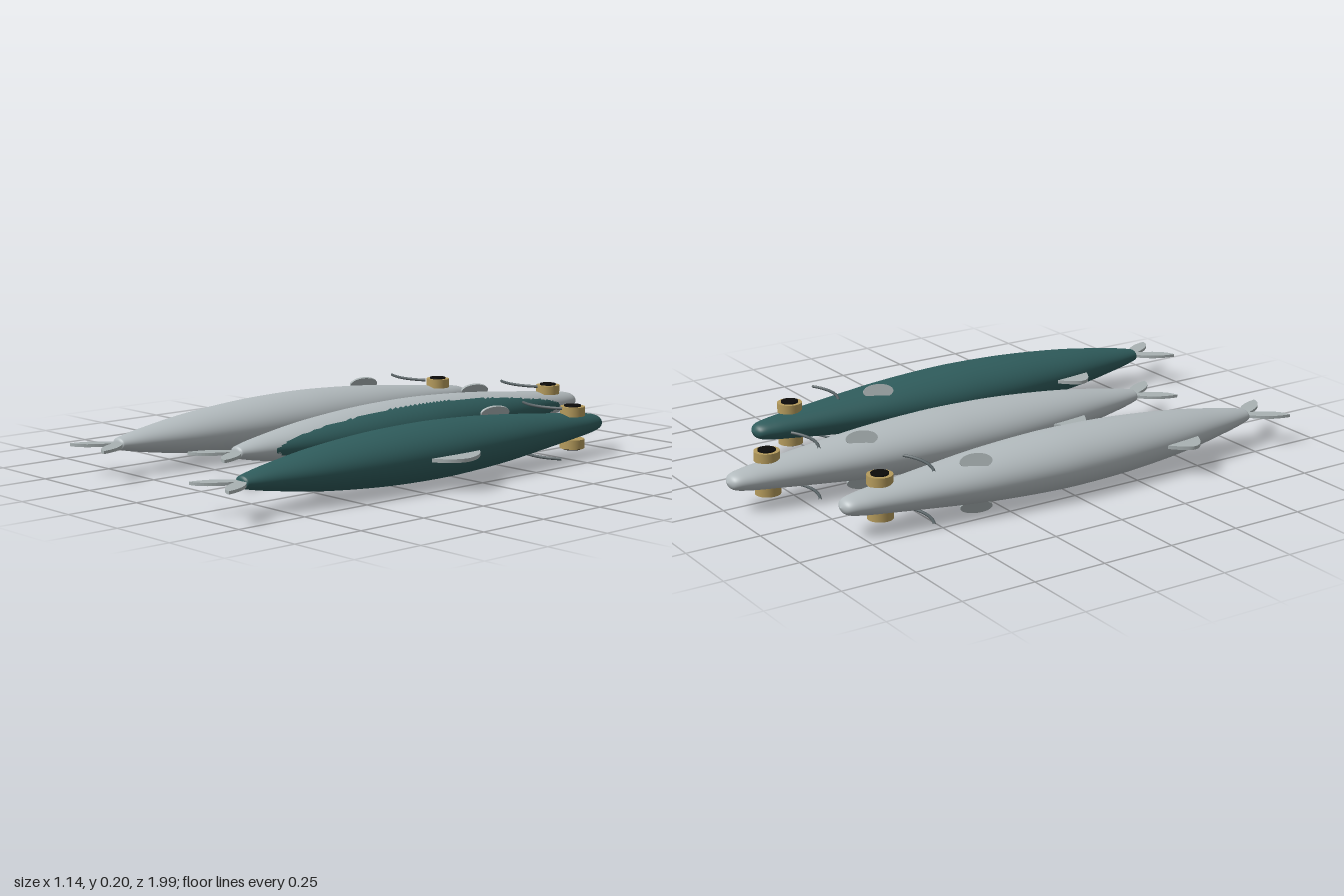
import * as THREE from 'three';

const mat = (name, color) => Object.assign(new THREE.MeshStandardMaterial({ color }), { name });
const silver = mat('silver', 0xb3bbbe);
const teal = mat('teal', 0x2f5c5c);
const finGrey = mat('finGrey', 0xa9b2b3);
const gold = mat('gold', 0xb59b5c);
const black = mat('black', 0x0c0b0a);
const gillGrey = mat('gillGrey', 0x566063);

const FLAT = 0.67; // body height relative to its width

function add(parent, name, geometry, material) {
  const mesh = new THREE.Mesh(geometry, material);
  mesh.name = name;
  parent.add(mesh);
  return mesh;
}

// Spindle body along z, nose at -z
function bodyGeometry() {
  const profile = new THREE.SplineCurve([
    [0, -0.807], [0.035, -0.79], [0.052, -0.74], [0.067, -0.65], [0.09, -0.5],
    [0.118, -0.3], [0.134, -0.1], [0.137, 0.05], [0.128, 0.25], [0.1, 0.48],
    [0.06, 0.67], [0.035, 0.76], [0.024, 0.778], [0, 0.782],
  ].map(([r, z]) => new THREE.Vector2(r, z))).getPoints(110);
  profile.forEach((p) => { p.x = Math.max(p.x, 0); });
  return new THREE.LatheGeometry(profile, 72).rotateX(Math.PI / 2).scale(1, FLAT, 1);
}

// Sorts the faces into two groups: inside and beyond the plane x = limit
function splitAtX(geometry, limit) {
  const index = geometry.index.array;
  const pos = geometry.attributes.position;
  const parts = [[], []];
  for (let i = 0; i < index.length; i += 3) {
    const face = [index[i], index[i + 1], index[i + 2]];
    const x = face.reduce((sum, v) => sum + pos.getX(v), 0) / 3;
    parts[x > limit ? 1 : 0].push(...face);
  }
  geometry.setIndex([...parts[0], ...parts[1]]);
  geometry.addGroup(0, parts[0].length, 0);
  geometry.addGroup(parts[0].length, parts[1].length, 1);
  return geometry;
}

// Flat fin in the horizontal plane, outlined by a smooth line through [x, z] points
function finGeometry(points, depth = 0.012) {
  const shape = new THREE.Shape();
  shape.moveTo(...points[0]);
  shape.splineThru(points.slice(1).map((p) => new THREE.Vector2(...p)));
  return new THREE.ExtrudeGeometry(shape, { depth, bevelEnabled: false, curveSegments: 24 })
    .translate(0, 0, -depth / 2).rotateX(Math.PI / 2);
}

function tailGeometry() {
  const shape = new THREE.Shape();
  shape.moveTo(0, 0.76);
  shape.bezierCurveTo(0.05, 0.79, 0.085, 0.83, 0.095, 0.9);
  shape.bezierCurveTo(0.055, 0.895, 0.025, 0.86, 0, 0.8);
  shape.bezierCurveTo(-0.025, 0.86, -0.055, 0.895, -0.095, 0.9);
  shape.bezierCurveTo(-0.085, 0.83, -0.05, 0.79, 0, 0.76);
  return new THREE.ExtrudeGeometry(shape, { depth: 0.01, bevelEnabled: false, curveSegments: 12 })
    .translate(0, 0, -0.005).rotateX(Math.PI / 2);
}

function createFish(bodyMaterial) {
  const fish = new THREE.Group();
  const twoTone = Array.isArray(bodyMaterial);
  add(fish, 'body', twoTone ? splitAtX(bodyGeometry(), 0.063) : bodyGeometry(), bodyMaterial);
  add(fish, 'tailFin', tailGeometry(), finGrey);
  add(fish, 'backFin', finGeometry([[0.11, -0.1], [0.143, -0.085], [0.185, -0.035],
    [0.207, 0.03], [0.185, 0.085], [0.138, 0.12], [0.11, 0.13]]), finGrey);
  add(fish, 'bellyFin', finGeometry([[-0.08, 0.34], [-0.115, 0.355], [-0.155, 0.395],
    [-0.17, 0.43], [-0.15, 0.465], [-0.1, 0.495], [-0.07, 0.5]]), finGrey);

  // Details repeated on the upper and lower flank
  for (const s of [1, -1]) {
    add(fish, 'eyeRing', new THREE.CylinderGeometry(0.042, 0.042, 0.032, 32), gold)
      .position.set(0.022, s * 0.056, -0.653);
    add(fish, 'pupil', new THREE.CylinderGeometry(0.029, 0.029, 0.008, 32), black)
      .position.set(0.022, s * 0.073, -0.653);

    const arc = new THREE.QuadraticBezierCurve3(
      new THREE.Vector3(-0.09, s * 0.086, -0.527),
      new THREE.Vector3(0, s * 0.086, -0.477),
      new THREE.Vector3(0.09, s * 0.086, -0.527));
    add(fish, 'gillLine', new THREE.TubeGeometry(arc, 24, 0.005, 8), gillGrey);

    const plate = new THREE.CylinderGeometry(1, 1, 1, 32).rotateZ(Math.PI / 2).scale(0.009, 0.025, 0.052);
    const sideFin = add(fish, 'sideFin', plate, finGrey);
    sideFin.position.set(-0.052, s * 0.075, -0.35);
    sideFin.rotation.set(0, -0.34, -s * 0.35);
  }
  return fish;
}

export function createModel() {
  const model = new THREE.Group();
  model.name = 'threeFish';
  const layout = [
    ['silverFish', silver, -0.405, 0],
    ['twoToneFish', [silver, teal], -0.026, -0.19],
    ['tealFish', teal, 0.357, 0.097],
  ];
  for (const [name, material, x, z] of layout) {
    const fish = createFish(material);
    fish.name = name;
    fish.position.set(x, 0.1, z);
    model.add(fish);
  }
  return model;
}
